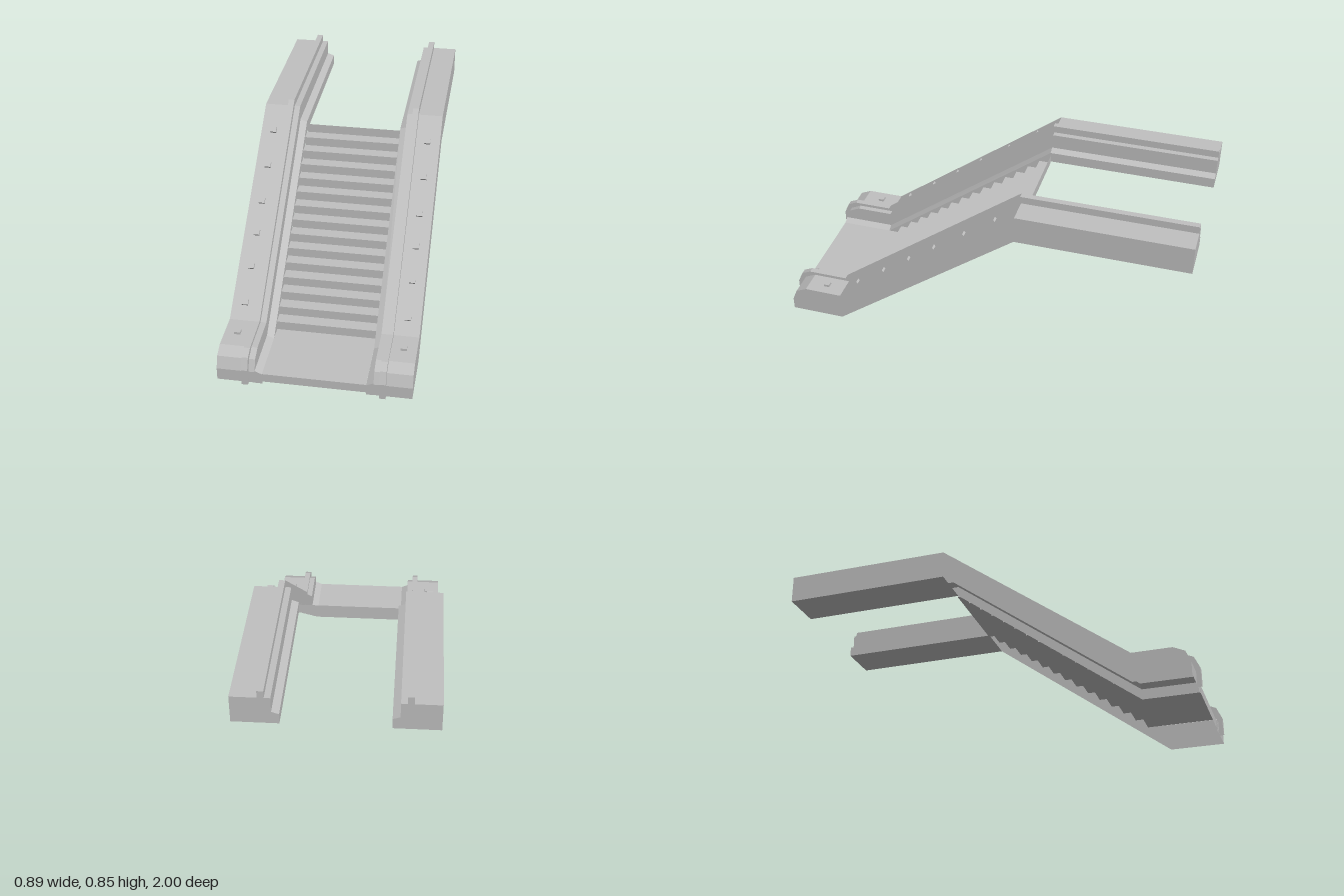
import * as THREE from 'three';

const grey = new THREE.MeshStandardMaterial({ color: 0xc0c0c0, side: THREE.DoubleSide, flatShading: true });
grey.name = 'grey';

// Lengthwise paths as [z, y], all with the same seven stations from front to back
const PANEL = [[0.98, 0.005], [0.98, 0.065], [0.957, 0.12], [0.903, 0.145], [0.717, 0.145], [-0.185, 0.82], [-1, 0.82]];
const RAIL = [[1, 0.005], [1, 0.085], [0.975, 0.14], [0.93, 0.16], [0.735, 0.16], [-0.18, 0.855], [-1, 0.855]];
const level = (low, high) => [[0.978, 0.002], [0.978, low], [0.957, low], [0.903, low], [0.717, low], [-0.183, high], [-1, high]];
const LEDGE_OUT = level(0.07, 0.747);
const LEDGE_IN = level(0.055, 0.735);
const BASE = [[0.98, 0.005], [0.98, 0.005], [0.957, 0.005], [0.903, 0.005], [0.717, 0.005], [-0.183, 0.685], [-1, 0.685]];

// Cross-section lines, from the outer bottom edge over the rail to the inner bottom edge
const LINES = [
  [0.445, BASE], [0.445, PANEL], [0.327, PANEL], [0.327, RAIL], [0.298, RAIL],
  [0.298, PANEL], [0.27, PANEL], [0.27, LEDGE_OUT], [0.237, LEDGE_IN], [0.237, BASE],
];

function meshFrom(name, positions) {
  const geo = new THREE.BufferGeometry();
  geo.setAttribute('position', new THREE.Float32BufferAttribute(positions, 3));
  geo.computeVertexNormals();
  const mesh = new THREE.Mesh(geo, grey);
  mesh.name = name;
  return mesh;
}

function addQuad(out, a, b, c, d, flip = false) {
  const order = flip ? [a, c, b, a, d, c] : [a, b, c, a, c, d];
  order.forEach((p) => out.push(...p));
}

// Surface strips between neighbouring section lines
function strips(name, pairs, side, firstStation = 0) {
  const out = [];
  for (const [m, n] of pairs) {
    const [xa, A] = LINES[m];
    const [xb, B] = LINES[n];
    const point = (x, [z, y]) => [side * x, y, z];
    for (let i = firstStation; i < 6; i++) {
      addQuad(out, point(xa, A[i]), point(xa, A[i + 1]), point(xb, B[i + 1]), point(xb, B[i]), side < 0);
    }
  }
  return meshFrom(name, out);
}

function balustrade(side) {
  const group = new THREE.Group();
  group.name = side > 0 ? 'leftBalustrade' : 'rightBalustrade';
  group.add(
    strips('outerPanel', [[0, 1], [1, 2], [5, 6], [6, 7]], side),
    strips('handrail', [[2, 3], [3, 4], [4, 5]], side),
    strips('innerSkirt', [[7, 8], [8, 9]], side),
    strips('landingUnderside', [[9, 0]], side, 5),
  );

  // Closed rear end
  const outline = LINES.map(([x, path]) => new THREE.Vector2(-side * x, path[6][1]));
  const end = new THREE.Mesh(new THREE.ShapeGeometry(new THREE.Shape(outline)), grey);
  end.name = 'rearEnd';
  end.rotation.y = Math.PI;
  end.position.z = -1;
  group.add(end);

  // Small lamps along the panel top
  const slope = Math.atan2(0.675, 0.902);
  for (const z of [-0.07, 0.082, 0.235, 0.367, 0.503, 0.647, 0.81]) {
    const onSlope = z < 0.717;
    const lamp = new THREE.Mesh(new THREE.BoxGeometry(0.029, 0.024, 0.028), grey);
    lamp.name = 'lamp';
    lamp.position.set(side * 0.384, 0.145 + (onSlope ? (0.717 - z) * Math.tan(slope) : 0), z);
    lamp.rotation.x = onSlope ? slope : 0;
    group.add(lamp);
  }
  return group;
}

// Folded sheet across the width through a list of [z, y] points
function sheet(name, points) {
  const out = [];
  const w = 0.237;
  for (let i = 0; i < points.length - 1; i++) {
    const [z0, y0] = points[i];
    const [z1, y1] = points[i + 1];
    addQuad(out, [-w, y0, z0], [w, y0, z0], [w, y1, z1], [-w, y1, z1]);
  }
  return meshFrom(name, out);
}

export function createModel() {
  const model = new THREE.Group();
  model.name = 'escalator';
  model.add(balustrade(1), balustrade(-1));

  // Entry platform with front lip
  model.add(sheet('entryPlatform', [[0.977, 0.013], [0.977, 0.056], [0.645, 0.056]]));

  // Fifteen risers joined by treads
  const stairs = [];
  for (let k = 0; k < 15; k++) {
    const z = 0.645 - k * 0.0593;
    stairs.push([z, 0.056 + k * 0.0444], [z, 0.056 + (k + 1) * 0.0444]);
  }
  model.add(sheet('steps', stairs));
  return model;
}
